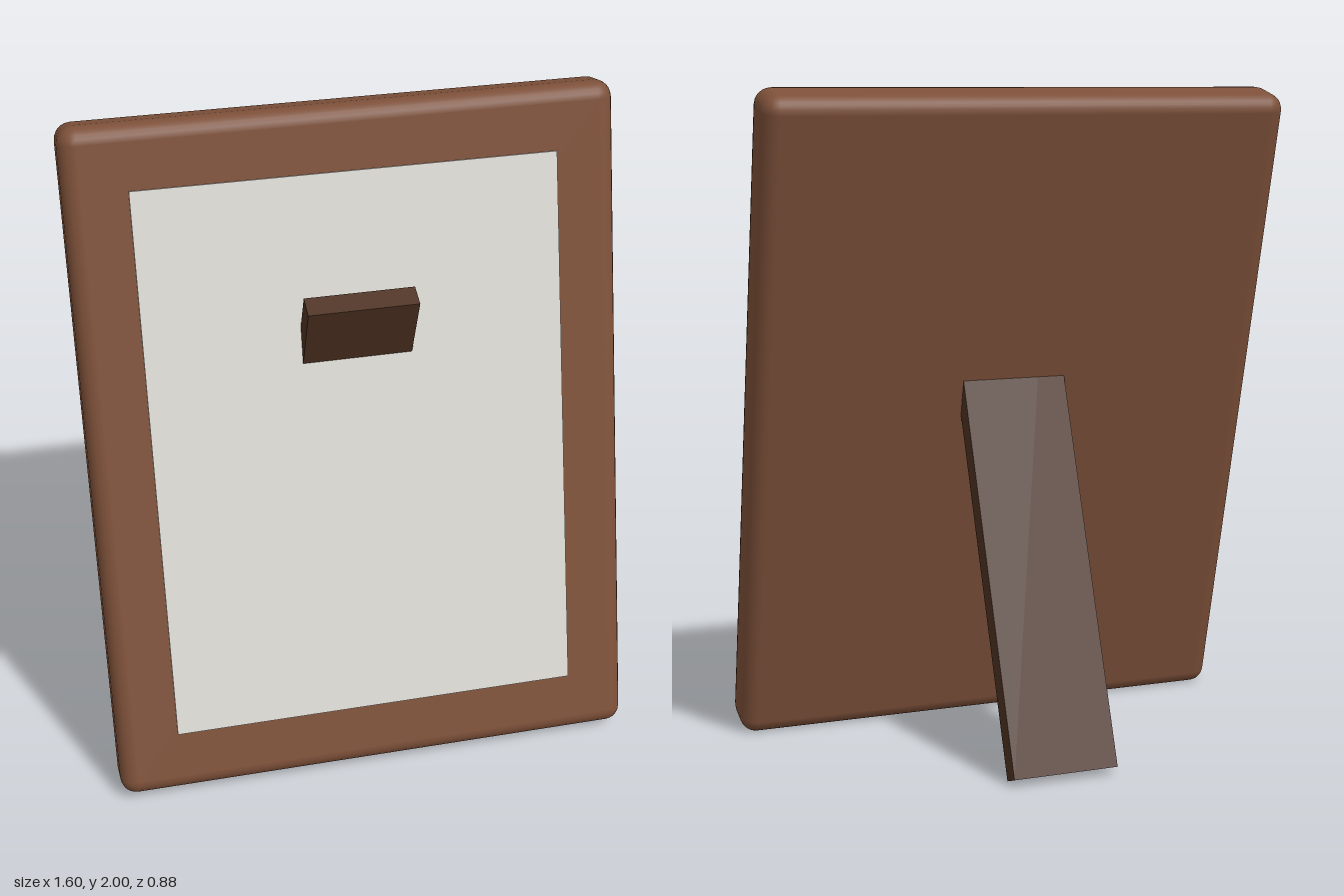
import * as THREE from 'three';
import { RoundedBoxGeometry } from 'three/addons/geometries/RoundedBoxGeometry.js';

const material = (name, color) => {
  const m = new THREE.MeshStandardMaterial({ color });
  m.name = name;
  return m;
};

export function createModel() {
  const wood = material('warm brown wood', 0x7d5039);
  const darkWood = material('dark brown wood', 0x4e3222);
  const paper = material('off white paper', 0xdddbd4);

  const model = new THREE.Group();
  model.name = 'pictureFrame';

  const add = (parent, name, geometry, mat, x, y, z) => {
    const mesh = new THREE.Mesh(geometry, mat);
    mesh.name = name;
    mesh.position.set(x, y, z);
    parent.add(mesh);
    return mesh;
  };

  // Frame and picture lean backwards together
  const panel = new THREE.Group();
  panel.name = 'leaningPanel';
  panel.position.set(0, 1, 0.12);
  panel.rotation.x = -0.245;
  model.add(panel);

  const depth = 0.17;
  add(panel, 'frame', new RoundedBoxGeometry(1.6, 2.04, depth, 3, 0.05), wood, 0, 0, 0);

  // Thin picture sheet lying on the front face
  add(panel, 'picture', new THREE.BoxGeometry(1.236, 1.66, 0.008), paper, 0, 0.003, depth / 2 + 0.002);

  // Stand leans the other way and passes through the panel
  const stand = add(model, 'stand', new THREE.BoxGeometry(0.324, 1.612, 0.065), darkWood, 0, 0.762, -0.112);
  stand.rotation.x = 0.381;

  return model;
}
